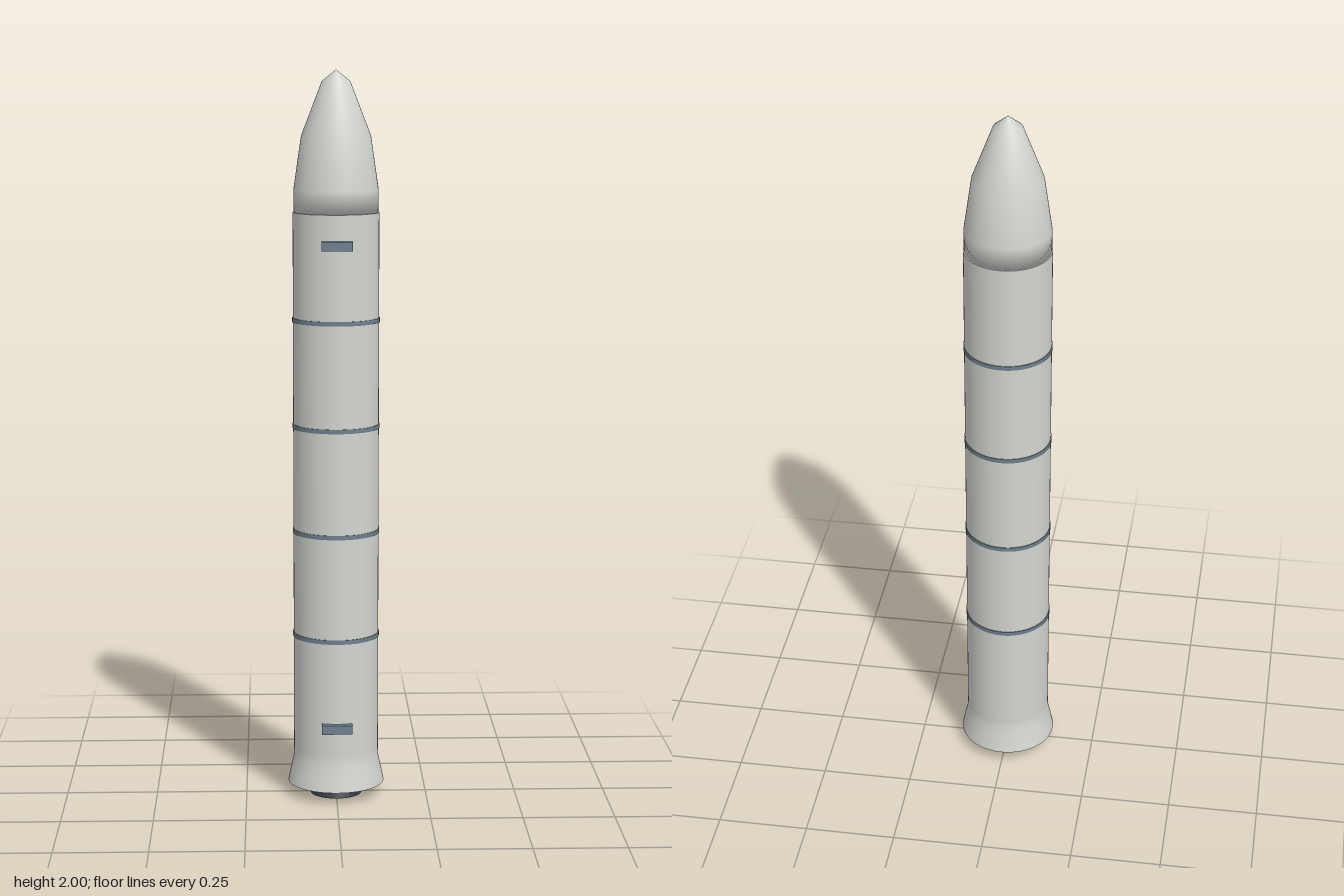
import * as THREE from 'three';

const SEG = 64;
const v = (r, y) => new THREE.Vector2(r, y);

export function createModel() {
  const model = new THREE.Group();
  const mat = (name, color, side = THREE.FrontSide) => {
    const m = new THREE.MeshStandardMaterial({ color, side });
    m.name = name;
    return m;
  };
  const casing = mat('casing grey', 0xd2d5d0, THREE.DoubleSide);
  const slate = mat('slate', 0x70808e);
  const dark = mat('nozzle dark', 0x2a3238, THREE.DoubleSide);

  const add = (name, geometry, material, y = 0, z = 0) => {
    const mesh = new THREE.Mesh(geometry, material);
    mesh.name = name;
    mesh.position.set(0, y, z);
    model.add(mesh);
  };

  // Main casing, y 0.1 to 1.62
  add('body', new THREE.CylinderGeometry(0.117, 0.117, 1.52, SEG), casing, 0.86);

  // Nose cone, closed underneath
  add('noseCone', new THREE.LatheGeometry([
    v(0, 1.62), v(0.115, 1.62), v(0.115, 1.68), v(0.094, 1.825), v(0.038, 1.97), v(0, 2),
  ], SEG), casing);

  // Flared open skirt
  add('aftSkirt', new THREE.LatheGeometry([
    v(0.133, 0.035), v(0.127, 0.065), v(0.118, 0.105), v(0.117, 0.13),
  ], SEG), casing);

  // Engine bell
  add('nozzle', new THREE.LatheGeometry([
    v(0.072, 0), v(0.036, 0.03), v(0.022, 0.07), v(0.022, 0.102),
  ], SEG), dark);

  // Joint bands between the segments
  for (let i = 0; i < 4; i++) {
    add('jointBand' + (i + 1), new THREE.CylinderGeometry(0.119, 0.119, 0.012, SEG), slate, 0.457 + i * 0.291);
  }

  // Attachment blocks on the front
  add('lowerAttachment', new THREE.BoxGeometry(0.083, 0.025, 0.026), slate, 0.214, 0.119);
  add('upperAttachment', new THREE.BoxGeometry(0.083, 0.025, 0.026), slate, 1.538, 0.119);

  return model;
}
